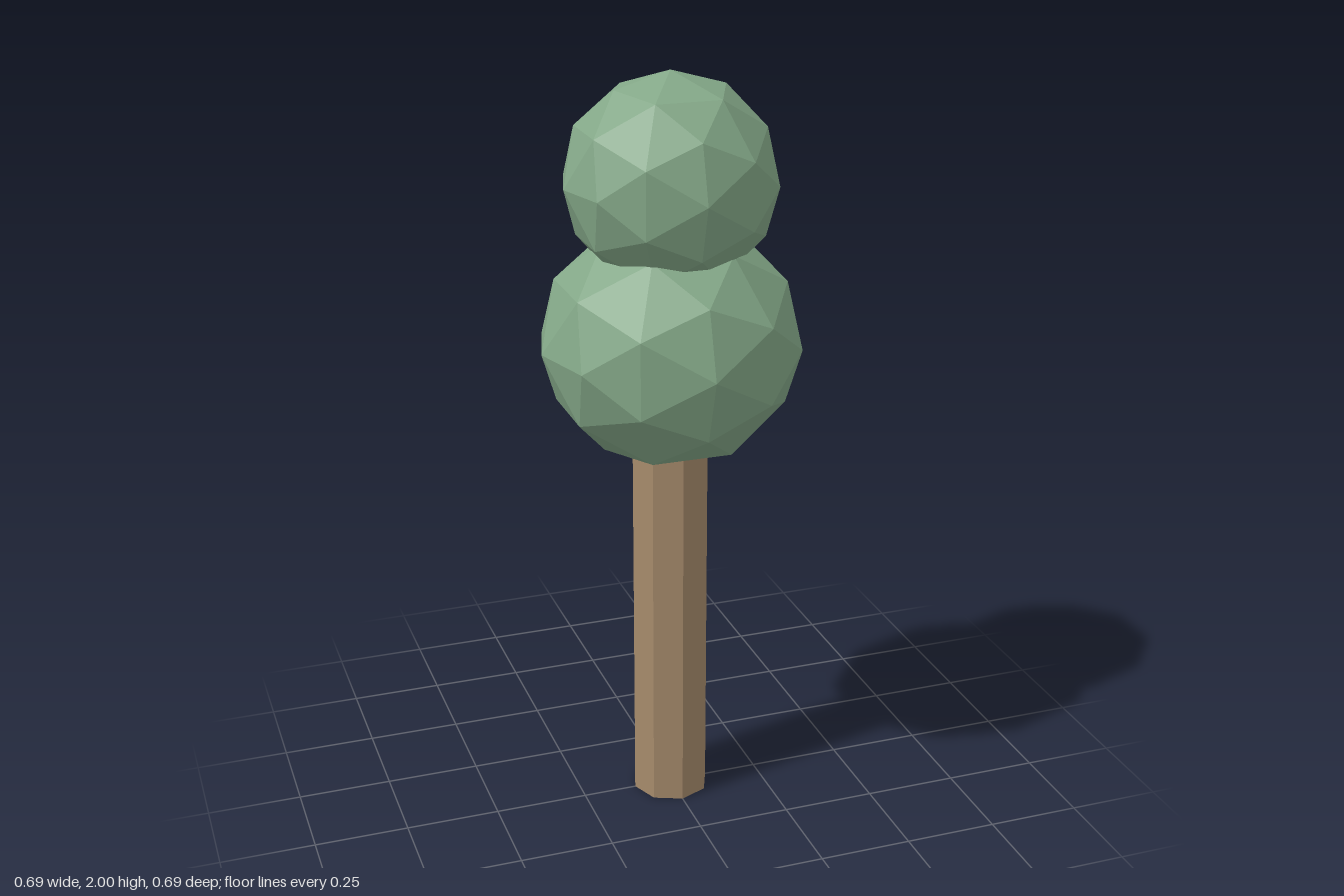
import * as THREE from 'three';

export function createModel() {
  const model = new THREE.Group();
  model.name = 'tree';

  const leafGreen = new THREE.MeshStandardMaterial({ color: 0x84a888, flatShading: true });
  leafGreen.name = 'leaf green';
  const barkBrown = new THREE.MeshStandardMaterial({ color: 0xa58a6b, flatShading: true });
  barkBrown.name = 'bark brown';

  // Eight-sided trunk, its top hidden inside the lower foliage
  const trunkHeight = 1.1;
  const trunk = new THREE.Mesh(new THREE.CylinderGeometry(0.104, 0.104, trunkHeight, 8), barkBrown);
  trunk.name = 'trunk';
  trunk.position.y = trunkHeight / 2;
  model.add(trunk);

  // Faceted foliage balls; the lower one is slightly flattened
  const addFoliage = (name, radius, y, squash) => {
    const ball = new THREE.Mesh(new THREE.IcosahedronGeometry(radius, 1), leafGreen);
    ball.name = name;
    ball.position.y = y;
    ball.scale.y = squash;
    model.add(ball);
  };
  addFoliage('lowerFoliage', 0.343, 1.304, 0.95);
  addFoliage('upperFoliage', 0.277, 1.723, 1);

  return model;
}
